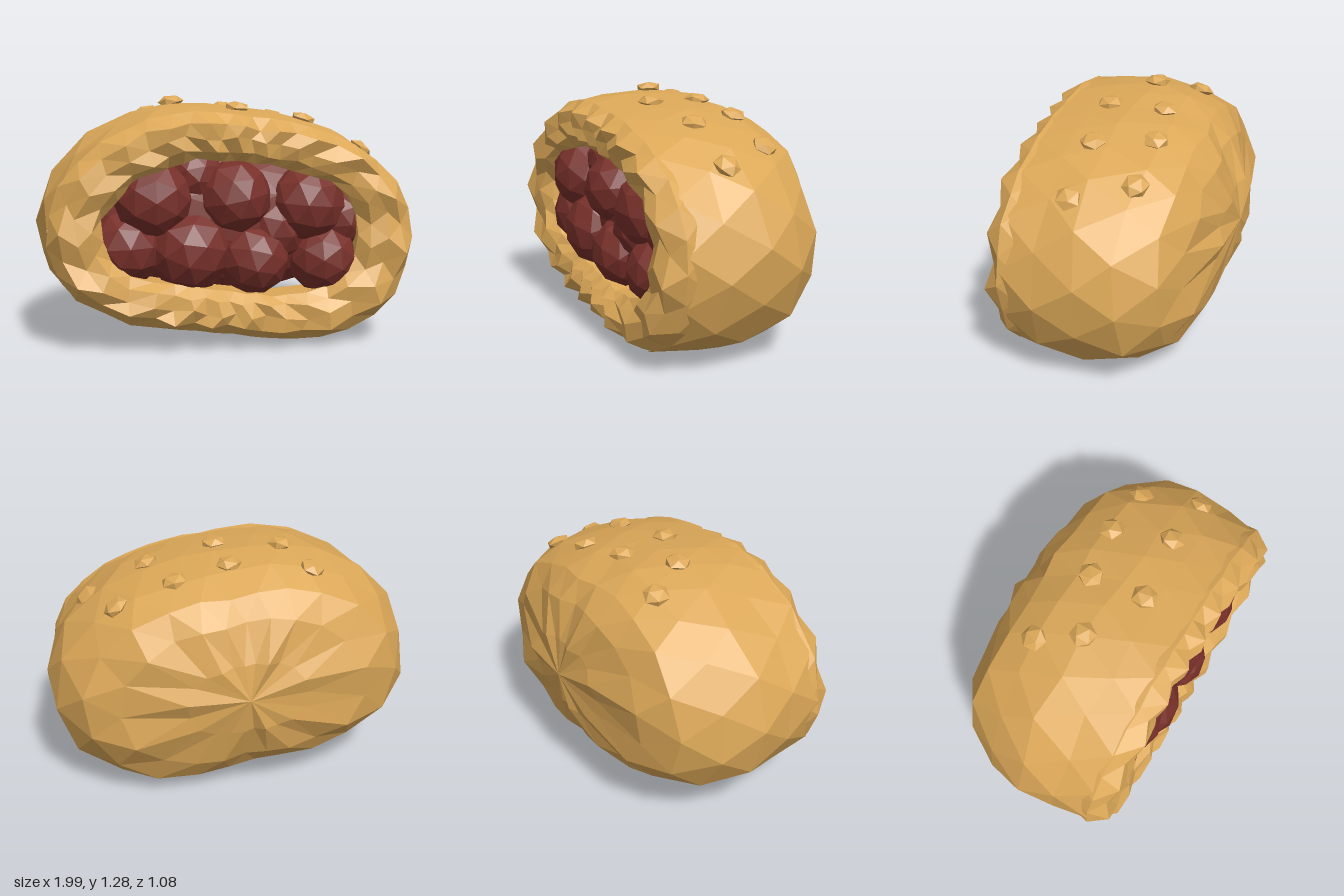
import * as THREE from 'three';

const CY = 0.63; // height of the bun's centre axis

// Front outlines of the crust and of its opening, counter-clockwise from the left side (+x)
const CRUST = [[1, 0.5], [0.98, 0.68], [0.92, 0.84], [0.8, 0.96], [0.62, 1.09], [0.3, 1.19], [0.05, 1.22], [-0.2, 1.25],
  [-0.45, 1.21], [-0.73, 1.08], [-0.94, 0.85], [-1, 0.58], [-0.9, 0.29], [-0.55, 0.11], [0, 0.04],
  [0.27, 0], [0.55, 0], [0.8, 0.12], [0.91, 0.23]];
const OPENING = [[0.65, 0.6], [0.62, 0.75], [0.5, 0.86], [0.15, 0.95], [-0.2, 0.98], [-0.5, 0.87], [-0.67, 0.68],
  [-0.66, 0.52], [-0.5, 0.37], [-0.2, 0.33], [0.2, 0.27], [0.45, 0.29], [0.63, 0.42]];

function makeRandom(seed) {
  return () => {
    seed = (seed * 16807) % 2147483647;
    return seed / 2147483647;
  };
}

// Distance from the centre axis to a closed outline in direction a
function reach(outline, a) {
  const dx = Math.cos(a), dy = Math.sin(a);
  let best = 0;
  outline.forEach(([x0, y0], i) => {
    const [x1, y1] = outline[(i + 1) % outline.length];
    const ex = x1 - x0, ey = y1 - y0;
    const det = dy * ex - dx * ey;
    if (Math.abs(det) < 1e-9) return;
    const px = x0, py = y0 - CY;
    const t = (ex * py - ey * px) / det;
    const s = (dx * py - dy * px) / det;
    if (t > 0 && s >= -1e-6 && s <= 1 + 1e-6) best = Math.max(best, t);
  });
  return best;
}

// Faceted skin over rings ordered front to back, every second ring turned by half a step
function loft(ringCount, sides, pointAt) {
  const pos = [], index = [];
  for (let i = 0; i < ringCount; i++) {
    for (let k = 0; k < sides; k++) {
      const a = ((k + (i % 2) / 2) / sides) * Math.PI * 2;
      pos.push(...pointAt(i, a, k));
    }
  }
  for (let i = 0; i < ringCount - 1; i++) {
    for (let k = 0; k < sides; k++) {
      const n = (k + 1) % sides;
      const a = i * sides + k, b = i * sides + n;
      const c = a + sides, d = b + sides;
      if (i % 2 === 0) index.push(a, c, b, b, c, d);
      else index.push(a, c, d, a, d, b);
    }
  }
  const geo = new THREE.BufferGeometry();
  geo.setAttribute('position', new THREE.Float32BufferAttribute(pos, 3));
  geo.setIndex(index);
  const flat = geo.toNonIndexed();
  flat.computeVertexNormals();
  return flat;
}

export function createModel() {
  const group = new THREE.Group();
  const crustMat = new THREE.MeshStandardMaterial({ color: 0xdca858 });
  crustMat.name = 'golden crust';
  const fillingMat = new THREE.MeshStandardMaterial({ color: 0x78302a });
  fillingMat.name = 'dark red filling';
  crustMat.flatShading = fillingMat.flatShading = true;

  const add = (name, geo, mat, parent = group) => {
    const mesh = new THREE.Mesh(geo, mat);
    mesh.name = name;
    parent.add(mesh);
    return mesh;
  };

  // Crust: rings of [z, scale], closed to a blunt back
  const bodyRand = makeRandom(11);
  const bodyRings = [[0.42, 0.945], [0.23, 0.985], [0.02, 1.005], [-0.19, 0.955], [-0.35, 0.84],
    [-0.45, 0.65], [-0.52, 0.32], [-0.55, 0]];
  const crust = add('crust', loft(bodyRings.length, 22, (i, a) => {
    const [z, s] = bodyRings[i];
    const inner = i > 0 && i < bodyRings.length - 1;
    const r = reach(CRUST, a) * s * (inner && i !== 2 ? 1 + (bodyRand() - 0.5) * 0.025 : 1);
    const dz = inner ? (bodyRand() - 0.5) * 0.05 : 0;
    return [Math.cos(a) * r, CY + Math.sin(a) * r, z + dz];
  }), crustMat);

  // Crimped lip: rings of [z, blend from opening to crust edge, roughness]
  const lipRand = makeRandom(5);
  const lipRings = [[0.26, 0.02, 0], [0.44, 0, 0.02], [0.49, 0.2, 0.04], [0.505, 0.48, 0.05],
    [0.5, 0.76, 0.055], [0.42, 0.985, 0.01], [0.33, 0.95, 0]];
  add('crimpedLip', loft(lipRings.length, 38, (i, a, k) => {
    const [z, t, rough] = lipRings[i];
    const r = THREE.MathUtils.lerp(reach(OPENING, a), reach(CRUST, a) * 0.955, t)
      + (lipRand() - 0.5) * rough * 0.6;
    const dz = (k % 2 ? 0.5 : -0.5) * rough * (0.5 + lipRand() * 0.5);
    return [Math.cos(a) * r, CY + Math.sin(a) * r, z + dz];
  }), crustMat);

  // Filling: faceted balls packed in the opening, each [x, y, z, radius]
  const filling = new THREE.Group();
  filling.name = 'filling';
  group.add(filling);
  [[-0.4, 0.77, 0.32, 0.2], [0.02, 0.77, 0.32, 0.19], [0.4, 0.73, 0.31, 0.2], [-0.21, 0.5, 0.32, 0.21],
    [0.12, 0.45, 0.34, 0.18], [0.49, 0.44, 0.32, 0.18], [-0.53, 0.52, 0.28, 0.19], [0.59, 0.64, 0.27, 0.16],
    [-0.18, 0.88, 0.26, 0.15], [0.24, 0.6, 0.27, 0.18]].forEach(([x, y, z, r], i) => {
    const ball = add('fillingBall', new THREE.IcosahedronGeometry(r * 1.04, 1), fillingMat, filling);
    ball.position.set(x, y, z);
    ball.rotation.set(i * 1.3, i * 0.7, i * 2.1);
  });
  const core = add('fillingCore', new THREE.IcosahedronGeometry(1, 2), fillingMat, filling);
  core.scale.set(0.74, 0.38, 0.24);
  core.position.set(0, CY, 0.18);

  // Seeds: flattened nuggets resting on the crust, each [x, z, side]
  const seeds = new THREE.Group();
  seeds.name = 'seeds';
  group.add(seeds);
  const ray = new THREE.Raycaster();
  crust.updateMatrixWorld(true);
  [[-0.39, -0.2, 1], [-0.27, 0.01, 1], [0.03, -0.13, 1], [0.06, 0.16, 1], [0.32, -0.18, 1], [0.43, 0.11, 1],
    [0.62, -0.18, 1], [0.75, 0.11, 1], [-0.41, -0.12, -1], [0, 0, -1]].forEach(([x, z, side], i) => {
    ray.set(new THREE.Vector3(x, side * 3, z), new THREE.Vector3(0, -side, 0));
    const hit = ray.intersectObject(crust)[0];
    if (!hit) return;
    const seed = add('seed', new THREE.IcosahedronGeometry(0.07, 0), crustMat, seeds);
    // The skin bulges outwards, so blend the facet normal with the radial direction
    const normal = hit.face.normal.clone()
      .add(new THREE.Vector3(x * 0.4, hit.point.y - CY, 0).normalize()).normalize();
    seed.scale.set(1, 1, 0.5);
    seed.quaternion.setFromUnitVectors(new THREE.Vector3(0, 0, 1), normal);
    seed.rotateZ(i * 1.1);
    seed.position.copy(hit.point).addScaledVector(normal, side > 0 ? 0.008 : -0.008);
  });

  return group;
}
